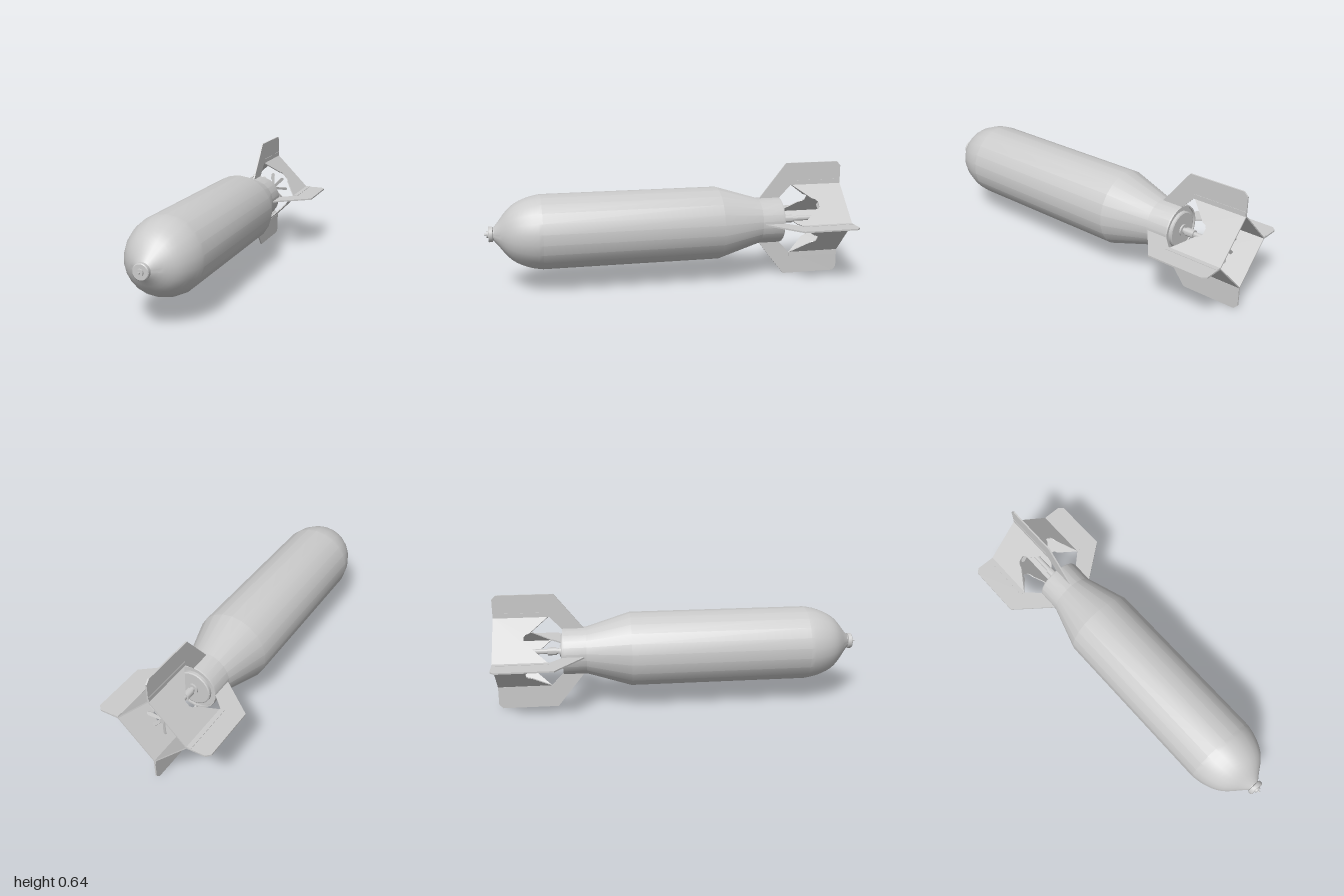
import * as THREE from 'three';
import { toCreasedNormals } from 'three/addons/utils/BufferGeometryUtils.js';

const material = new THREE.MeshStandardMaterial({ color: 0xcccccc });
const AXIS_Y = 0.322;   // height of the long axis
const TAIL = 1.0;       // distance from centre to the rear edge

function mesh(name, geometry) {
  const m = new THREE.Mesh(geometry, material);
  m.name = name;
  return m;
}

// Turned part along z; profile is [radius, z] from back to front
function turned(name, profile, sides, crease = 0.3) {
  const geo = new THREE.LatheGeometry(profile.map(([r, z]) => new THREE.Vector2(r, z)), sides);
  geo.rotateX(Math.PI / 2);
  return mesh(name, toCreasedNormals(geo, crease));
}

// Flat plate: outline is [across, distance behind centre], thickness along y
function plate(name, outline, thickness) {
  const shape = new THREE.Shape(outline.map(([u, v]) => new THREE.Vector2(u, v)));
  const geo = new THREE.ExtrudeGeometry(shape, { depth: thickness, bevelEnabled: false });
  geo.translate(0, 0, -thickness / 2);
  geo.rotateX(-Math.PI / 2);
  return mesh(name, geo);
}

function createBody() {
  // Rounded nose curve, sampled finely enough to stay smooth
  const nose = new THREE.SplineCurve([
    [0.202, 0.70], [0.192, 0.755], [0.17, 0.815], [0.142, 0.86], [0.108, 0.893], [0.07, 0.922], [0.036, 0.95],
  ].map(([r, z]) => new THREE.Vector2(r, z))).getPoints(12).map((p) => [p.x, p.y]);
  return turned('body', [
    [0, -0.628], [0.118, -0.628], [0.118, -0.637], [0.126, -0.637], [0.128, -0.63],
    [0.128, -0.51], [0.202, -0.27], ...nose, [0, 0.95],
  ], 22);
}

function createNoseFuze() {
  return turned('noseFuze', [
    [0, 0.94], [0.034, 0.94], [0.034, 0.953], [0.042, 0.956], [0.042, 0.974], [0.038, 0.978],
    [0.018, 0.978], [0.018, 0.987], [0.005, 0.987], [0.005, 1.0], [0, 1.0],
  ], 24, 0.5);
}

function createTailFuze() {
  const fuze = new THREE.Group();
  fuze.name = 'tailFuze';
  fuze.add(turned('tailCap', [
    [0, -0.646], [0.09, -0.646], [0.096, -0.642], [0.096, -0.62], [0, -0.62],
  ], 24, 0.5));
  fuze.add(turned('shaft', [
    [0, -0.915], [0.014, -0.915], [0.014, -0.72], [0.022, -0.72], [0.022, -0.672],
    [0.015, -0.672], [0.015, -0.655], [0.03, -0.655], [0.03, -0.64],
  ], 16, 0.5));

  // Arming vane: eight slightly pitched blades with rounded tips
  const vane = new THREE.Group();
  vane.name = 'armingVane';
  vane.position.z = -0.9;
  const blade = new THREE.Shape();
  blade.moveTo(-0.007, 0);
  blade.lineTo(0.007, 0);
  blade.lineTo(0.01, 0.086);
  blade.absarc(0, 0.086, 0.01, 0, Math.PI, false);
  blade.closePath();
  const bladeGeo = new THREE.ExtrudeGeometry(blade, { depth: 0.005, bevelEnabled: false, curveSegments: 6 });
  bladeGeo.translate(0, 0, -0.0025);
  bladeGeo.rotateY(0.4);
  for (let i = 0; i < 8; i++) {
    const b = mesh('vaneBlade', bladeGeo);
    b.rotation.z = (i * Math.PI) / 4;
    vane.add(b);
  }
  fuze.add(vane);
  return fuze;
}

// One quarter of the tail: a radial fin and the box panel next to it
function createTailQuarter(index) {
  const quarter = new THREE.Group();
  quarter.name = 'tailQuarter';
  quarter.rotation.z = (index * Math.PI) / 2;

  quarter.add(plate('fin', [
    [0.12, 0.515], [0.322, 0.675], [0.322, 0.978], [0.3, TAIL],
    [0.198, TAIL], [0.198, 0.705], [0.126, 0.637], [0.12, 0.637],
  ], 0.008));

  // Doubled seam where the panels fold onto the fin
  quarter.add(plate('finSeam', [
    [0.197, 0.705], [0.222, 0.705], [0.222, 0.998], [0.197, 0.998],
  ], 0.012));

  // Box panel with an arched notch in its front edge
  const w = 0.2 * Math.SQRT2;
  const panel = plate('boxPanel', [
    [0, 0.705], [0.36, 0.808], [0.39, 0.828], [0.44, 0.838], [0.56, 0.838], [0.61, 0.828],
    [0.64, 0.808], [1, 0.705], [1, TAIL], [0, TAIL],
  ].map(([f, v]) => [(f - 0.5) * w, v]), 0.006);
  panel.position.y = w / 2 - 0.002;
  const turn = new THREE.Group();
  turn.name = 'boxSide';
  turn.rotation.z = Math.PI / 4;
  turn.add(panel);
  quarter.add(turn);
  return quarter;
}

export function createModel() {
  const model = new THREE.Group();
  model.name = 'aerialBomb';
  const assembly = new THREE.Group();
  assembly.name = 'assembly';
  assembly.position.y = AXIS_Y;
  assembly.add(createBody(), createNoseFuze(), createTailFuze());
  for (let i = 0; i < 4; i++) assembly.add(createTailQuarter(i));
  model.add(assembly);
  return model;
}
